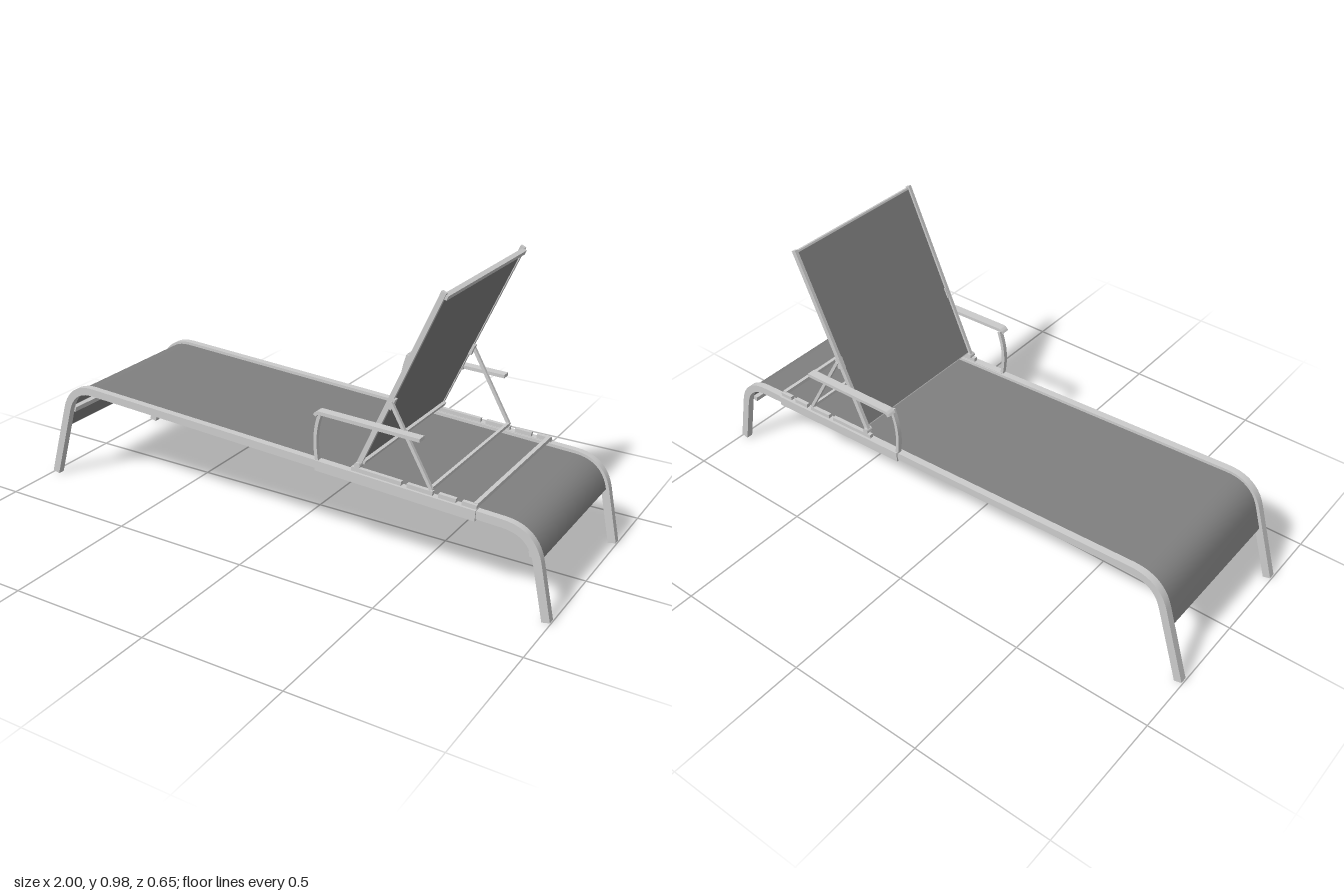
import * as THREE from 'three';
import { toCreasedNormals } from 'three/addons/utils/BufferGeometryUtils.js';

const metal = new THREE.MeshStandardMaterial({ color: 0xcccccc });
const fabric = new THREE.MeshStandardMaterial({ color: 0x808080, side: THREE.DoubleSide });

// Samples a polyline in the xy plane with its inner corners rounded off.
function rounded(points, trim, steps = 10) {
  const p = points.map(([x, y]) => new THREE.Vector2(x, y));
  const out = [p[0]];
  for (let i = 1; i < p.length - 1; i++) {
    const toward = (q) => p[i].clone().add(q.clone().sub(p[i]).setLength(trim));
    out.push(...new THREE.QuadraticBezierCurve(toward(p[i - 1]), p[i], toward(p[i + 1])).getPoints(steps));
  }
  out.push(p[p.length - 1]);
  return out;
}

const line = (...points) => points.map(([x, y]) => new THREE.Vector2(x, y));

// Flat bar of a given thickness that follows an xy path and spans z0 to z1.
function bar(name, path, thickness, z0, z1, material = metal) {
  const upper = [], lower = [];
  path.forEach((p, i) => {
    const t = path[Math.min(i + 1, path.length - 1)].clone().sub(path[Math.max(i - 1, 0)]).normalize();
    const n = new THREE.Vector2(-t.y, t.x).multiplyScalar(thickness / 2);
    upper.push(p.clone().add(n));
    lower.unshift(p.clone().sub(n));
  });
  const geometry = new THREE.ExtrudeGeometry(new THREE.Shape([...upper, ...lower]), {
    depth: Math.abs(z1 - z0), bevelEnabled: false,
  });
  geometry.translate(0, 0, Math.min(z0, z1));
  const mesh = new THREE.Mesh(toCreasedNormals(geometry, 0.6), material);
  mesh.name = name;
  return mesh;
}

// Bar running across the lounger.
function crossbar(name, x, y, width, height, halfSpan, tilt = 0) {
  const mesh = new THREE.Mesh(new THREE.BoxGeometry(width, height, halfSpan * 2), metal);
  mesh.position.set(x, y, 0);
  mesh.rotation.z = tilt;
  mesh.name = name;
  return mesh;
}

function pin(name, x, y, z, radius, length) {
  const mesh = new THREE.Mesh(new THREE.CylinderGeometry(radius, radius, length, 12), metal);
  mesh.rotation.x = Math.PI / 2;
  mesh.position.set(x, y, z);
  mesh.name = name;
  return mesh;
}

const railY = (x) => 0.374 - (x + 0.875) * 0.0461;

export function createModel() {
  const model = new THREE.Group();
  model.name = 'sunLounger';
  const slope = -Math.atan(0.0461);
  const backTilt = Math.atan2(0.625, 0.28);

  // Side parts, mirrored in z
  for (const s of [1, -1]) {
    const side = new THREE.Group();
    side.name = s > 0 ? 'frontSide' : 'rearSide';

    // Rail with both legs in one bent bar
    side.add(bar('railAndLegs',
      rounded([[-0.985, 0.004], [-0.875, 0.374], [0.926, 0.291], [0.986, 0.003]], 0.1),
      0.028, s * 0.276, s * 0.301));

    // Sleeve on the rail and the stepped rack for the back support
    side.add(bar('railSleeve', line([0.17, railY(0.17) - 0.002], [0.74, railY(0.74) - 0.002]),
      0.036, s * 0.28, s * 0.306));
    for (const [a, b] of [[0.3, 0.48], [0.5, 0.59], [0.61, 0.67], [0.69, 0.74]])
      side.add(bar('rackTooth', line([a, railY(a) + 0.022], [b, railY(b) + 0.022]),
        0.016, s * 0.283, s * 0.297));

    // Armrest on a bowed post
    const post = new THREE.CatmullRomCurve3([[0.188, 0.518], [0.172, 0.46], [0.167, 0.4], [0.176, 0.315]]
      .map(([x, y]) => new THREE.Vector3(x, y, 0))).getPoints(14).map((p) => new THREE.Vector2(p.x, p.y));
    side.add(bar('armrestPost', post, 0.012, s * 0.285, s * 0.301));
    side.add(bar('armrest', rounded([[0.18, 0.508], [0.188, 0.52], [0.555, 0.51]], 0.009, 4),
      0.012, s * 0.294, s * 0.325));
    side.add(pin('armrestPivot', 0.396, 0.512, s * 0.292, 0.008, 0.02));

    // Backrest side bar, bracket and prop leg
    side.add(bar('backrestRail', line([0.318, 0.35], [0.6, 0.978]), 0.017, s * 0.278, s * 0.29));
    side.add(pin('backrestHinge', 0.322, 0.357, s * 0.285, 0.011, 0.026));
    side.add(bar('propBracket', line([0.425, 0.575], [0.44, 0.612]), 0.022, s * 0.274, s * 0.291));
    side.add(bar('propLeg', line([0.436, 0.6], [0.584, 0.34]), 0.011, s * 0.286, s * 0.297));
    model.add(side);
  }

  // Seat sling, draped over both ends
  model.add(bar('seatSling',
    rounded([[-0.926, 0.2], [-0.875, 0.374], [0.926, 0.291], [0.946, 0.195]], 0.095),
    0.006, -0.277, 0.277, fabric));

  // Backrest sling with its top and bottom bars
  model.add(bar('backrestSling', line([0.33, 0.37], [0.597, 0.966]), 0.006, -0.279, 0.279, fabric));
  model.add(crossbar('backrestTopBar', 0.602, 0.962, 0.016, 0.016, 0.284, backTilt));
  model.add(crossbar('backrestBottomBar', 0.337, 0.37, 0.014, 0.014, 0.284, backTilt));

  // Cross members of the frame
  model.add(crossbar('footEndBar', -0.892, 0.274, 0.016, 0.02, 0.278, -0.29));
  model.add(crossbar('headEndBar', 0.917, 0.207, 0.016, 0.02, 0.278, 0.2));
  for (const x of [0.13, 0.36])
    model.add(crossbar('underSeatBar', x, railY(x) - 0.01, 0.024, 0.014, 0.278, slope));
  model.add(crossbar('rackEndBar', 0.733, 0.326, 0.014, 0.014, 0.288, slope));
  model.add(crossbar('propFootBar', 0.582, 0.343, 0.011, 0.011, 0.29, slope));

  return model;
}
